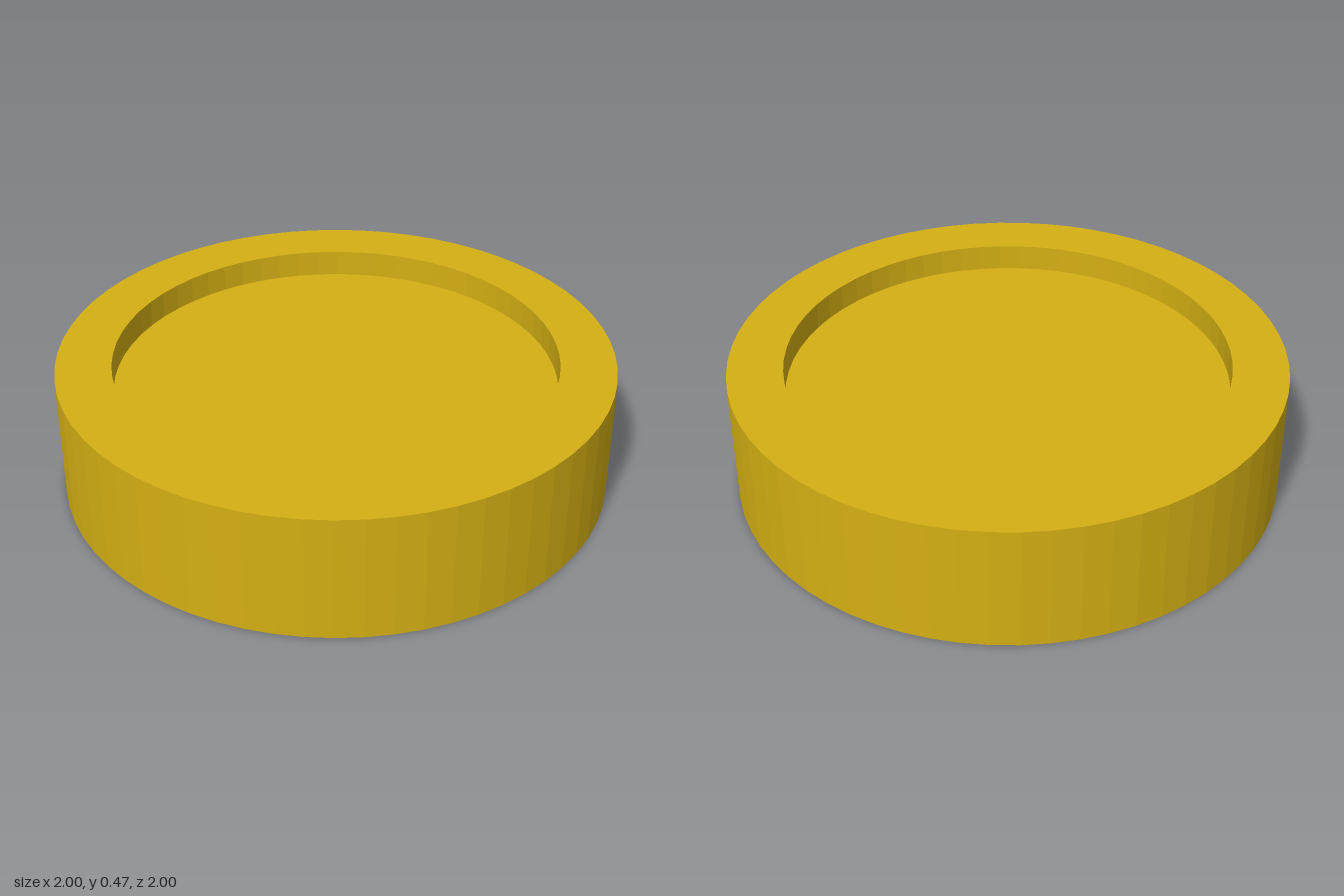
import * as THREE from 'three';

const SEGMENTS = 64;
const POCKET_RADIUS = 0.3;
const LOWER_FLOOR = 0.1;
const UPPER_FLOOR = 0.37;

export function createModel() {
  const group = new THREE.Group();
  const gold = new THREE.MeshStandardMaterial({ color: 0xd4af13, flatShading: true });
  const goldInside = gold.clone();
  goldInside.side = THREE.BackSide;

  const add = (name, geometry, material = gold, y = 0) => {
    const mesh = new THREE.Mesh(geometry, material);
    mesh.name = name;
    mesh.position.y = y;
    group.add(mesh);
  };

  // Flat piece facing down, cut from the pocket circle between two angles
  const downFacing = (fromStep, toStep) => {
    const points = [];
    for (let i = fromStep; i <= toStep; i++) {
      const a = (i / SEGMENTS) * Math.PI * 2;
      points.push(new THREE.Vector2(Math.cos(a) * POCKET_RADIUS, Math.sin(a) * POCKET_RADIUS));
    }
    return new THREE.ShapeGeometry(new THREE.Shape(points)).rotateX(Math.PI / 2);
  };

  // Thick disc with a raised rim and a round recess on both sides
  const profile = [
    [POCKET_RADIUS, LOWER_FLOOR], [0.8, LOWER_FLOOR], [0.8, 0], [1, 0],
    [1, 0.47], [0.8, 0.47], [0.8, UPPER_FLOOR], [0, UPPER_FLOOR],
  ].map(([r, y]) => new THREE.Vector2(r, y));
  add('rimmedDisc', new THREE.LatheGeometry(profile, SEGMENTS));

  // Round pocket inside the disc
  const depth = UPPER_FLOOR - LOWER_FLOOR;
  add('pocketWall',
    new THREE.CylinderGeometry(POCKET_RADIUS, POCKET_RADIUS, depth, SEGMENTS, 1, true),
    goldInside, LOWER_FLOOR + depth / 2);
  add('pocketCeiling', downFacing(0, SEGMENTS - 1), gold, UPPER_FLOOR);

  // Underside cover of the pocket, leaving a tapered slot open
  add('backCover', downFacing(SEGMENTS / 2, SEGMENTS), gold, LOWER_FLOOR);
  add('frontCover', downFacing(8, 28), gold, LOWER_FLOOR);

  return group;
}
